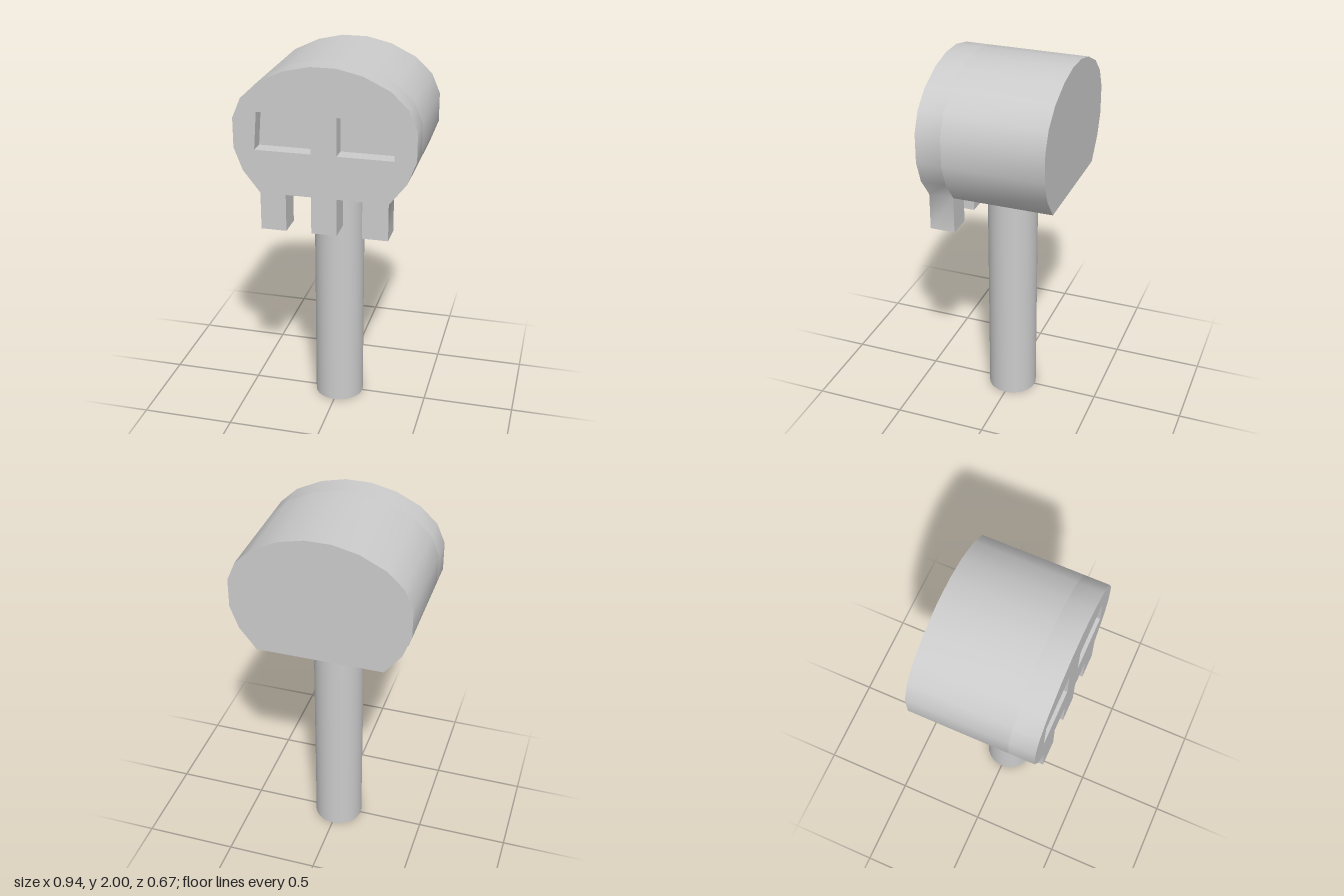
import * as THREE from 'three';
import { toCreasedNormals } from 'three/addons/utils/BufferGeometryUtils.js';

const material = new THREE.MeshStandardMaterial({ color: 0xcccccc });

const HALF_DEPTH = 0.335; // head depth / 2
const TOOTH_BACK = 0.2;   // z where the teeth end
const SOCKET_DEPTH = 0.08;
const JAW = 1.325;
const TOOTH_TIP = 1.125;

// Right half of the head outline, from jaw corner up to the crown
const half = [
  [0.335, JAW], [0.425, 1.44], [0.47, 1.56], [0.47, 1.715],
  [0.425, 1.82], [0.335, 1.905], [0.2, 1.97], [0.067, 2],
];
// Lower edge of the face with its three teeth, from left to right
const teeth = [
  [-0.335, TOOTH_TIP], [-0.2, TOOTH_TIP], [-0.2, JAW], [-0.067, JAW],
  [-0.067, TOOTH_TIP], [0.067, TOOTH_TIP], [0.067, JAW], [0.2, JAW],
  [0.2, TOOTH_TIP], [0.335, TOOTH_TIP],
];
const socket = [[0.067, 1.555], [0.36, 1.555], [0.345, 1.755], [0.067, 1.755]];

const mirror = (points) => points.map(([x, y]) => [-x, y]).reverse();
const toPoints = (points) => points.map(([x, y]) => new THREE.Vector2(x, y));

function extrude(shape, back, front) {
  const geometry = new THREE.ExtrudeGeometry(shape, { depth: front - back, bevelEnabled: false });
  geometry.translate(0, 0, back);
  return toCreasedNormals(geometry, 0.75);
}

export function createModel() {
  const model = new THREE.Group();
  model.name = 'skullOnPost';
  const add = (name, geometry) => {
    const mesh = new THREE.Mesh(geometry, material);
    mesh.name = name;
    model.add(mesh);
    return mesh;
  };

  const outline = [...half, ...mirror(half)];
  const sockets = [socket, mirror(socket)];

  // Cranium: the head behind the face
  add('cranium', extrude(new THREE.Shape(toPoints(outline)), -HALF_DEPTH, TOOTH_BACK));

  // Face: front slab with teeth and open eye sockets
  const faceShape = new THREE.Shape(toPoints([...outline, ...teeth]));
  faceShape.holes = sockets.map((s) => new THREE.Path(toPoints(s)));
  add('face', extrude(faceShape, TOOTH_BACK, HALF_DEPTH));

  // Floors of the eye sockets
  sockets.forEach((s, i) => {
    const floor = add(i ? 'rightSocketFloor' : 'leftSocketFloor',
      new THREE.ShapeGeometry(new THREE.Shape(toPoints(s))));
    floor.position.z = HALF_DEPTH - SOCKET_DEPTH;
  });

  // Post under the head
  add('post', new THREE.CylinderGeometry(0.135, 0.135, JAW, 32)).position.y = JAW / 2;

  return model;
}
